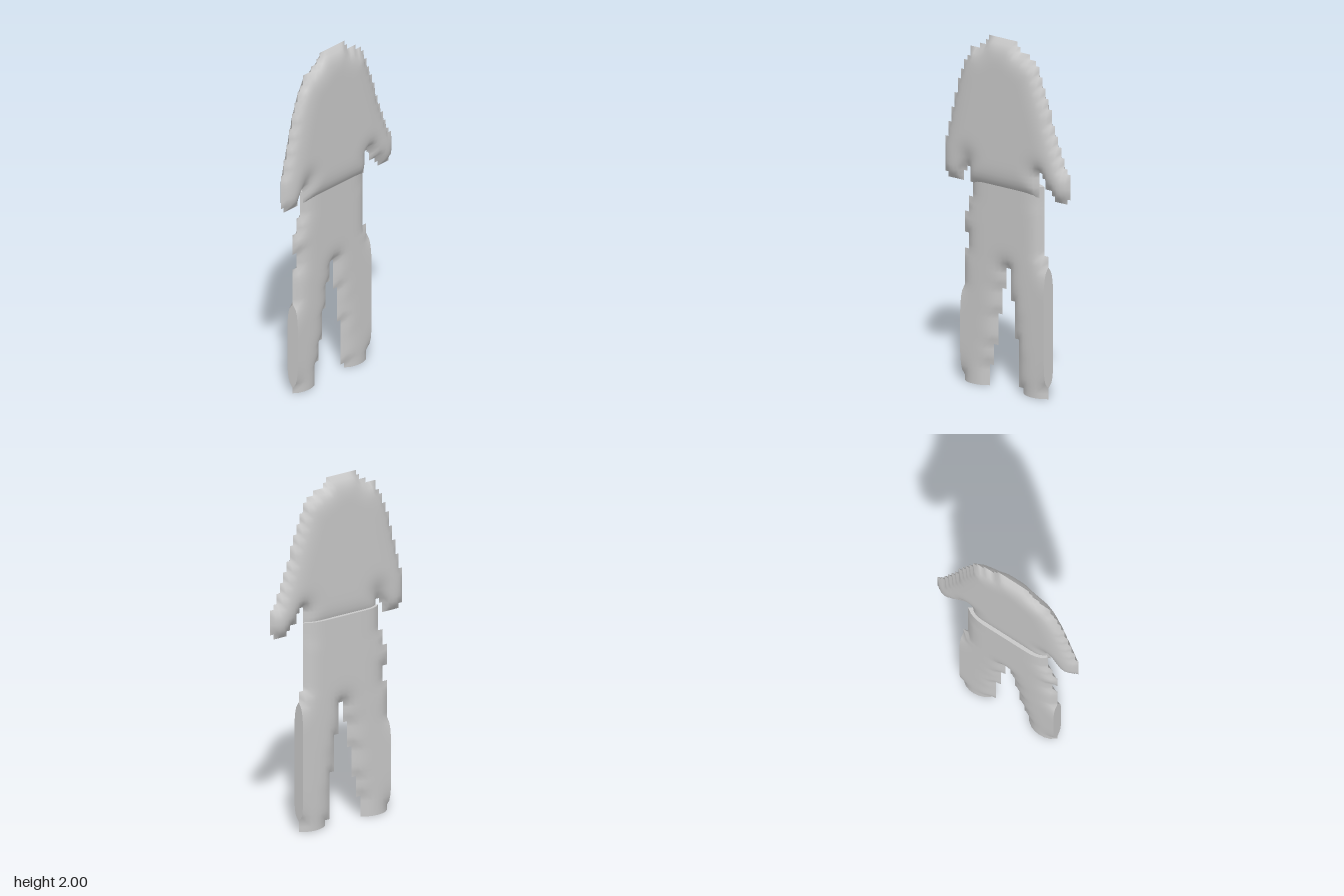
import * as THREE from 'three';

const shirtOutline = [
  [-0.14, 2], [0.07, 2], [0.07, 1.97], [0.13, 1.94], [0.23, 1.89], [0.25, 1.82], [0.28, 1.74],
  [0.325, 1.61], [0.37, 1.48], [0.42, 1.37], [0.44, 1.34], [0.465, 1.27], [0.465, 1.17], [0.44, 1.17],
  [0.44, 1.14], [0.34, 1.14], [0.34, 1.17], [0.28, 1.22], [0.25, 1.27], [0.235, 1.27], [0.235, 1.14],
  [-0.275, 1.14], [-0.275, 1.27], [-0.3, 1.22], [-0.33, 1.17], [-0.33, 1.14], [-0.445, 1.14],
  [-0.445, 1.17], [-0.465, 1.17], [-0.465, 1.31], [-0.445, 1.4], [-0.4, 1.57], [-0.37, 1.68],
  [-0.33, 1.8], [-0.29, 1.87], [-0.26, 1.91], [-0.2, 1.93], [-0.14, 1.97],
];

// Runs past the grid at the waist, the hems and the outer legs, which are cut flat there
const trouserOutline = [
  [-0.28, 1.35], [0.24, 1.35], [0.24, 1.1], [0.26, 1.07], [0.26, 0.82], [0.28, 0.81], [0.285, 0.75],
  [0.4, 0.6], [0.4, 0.2], [0.285, 0.03], [0.28, -0.2], [0.1, -0.2], [0.1, 0.03], [0.075, 0.03],
  [0.07, 0.19], [0.05, 0.2], [0.045, 0.4], [0.02, 0.45], [0.015, 0.55], [-0.005, 0.57], [-0.01, 0.69],
  [-0.035, 0.69], [-0.04, 0.58], [-0.07, 0.57], [-0.07, 0.42], [-0.095, 0.4], [-0.1, 0.25],
  [-0.125, 0.24], [-0.125, 0.14], [-0.15, 0.13], [-0.15, -0.2], [-0.345, -0.2], [-0.345, 0.03],
  [-0.45, 0.15], [-0.45, 0.4], [-0.345, 0.55], [-0.34, 0.74], [-0.31, 0.74], [-0.31, 0.855],
  [-0.34, 0.855], [-0.34, 0.96], [-0.31, 0.96], [-0.31, 1.04], [-0.28, 1.05],
];

function contains(poly, x, y) {
  let inside = false;
  poly.forEach(([ax, ay], k) => {
    const [bx, by] = poly[(k + 1) % poly.length];
    if ((ay > y) !== (by > y) && x < ax + ((y - ay) / (by - ay)) * (bx - ax)) inside = !inside;
  });
  return inside;
}

function edgeDistance(poly, x, y) {
  let best = Infinity;
  poly.forEach(([ax, ay], k) => {
    const [bx, by] = poly[(k + 1) % poly.length];
    const dx = bx - ax, dy = by - ay;
    const t = THREE.MathUtils.clamp(((x - ax) * dx + (y - ay) * dy) / (dx * dx + dy * dy), 0, 1);
    best = Math.min(best, Math.hypot(x - ax - t * dx, y - ay - t * dy));
  });
  return best;
}

// Puffs a stepped silhouette into a cushion: zero thick at its rim, cut flat at the grid limits
function cushion({ outline, x0, x1, y0, y1, nx, ny, depth, radius, zMid }) {
  const dx = (x1 - x0) / nx, dy = (y1 - y0) / ny;
  const filled = (i, j) => contains(outline, x0 + (i + 0.5) * dx, y0 + (j + 0.5) * dy);
  const id = (i, j) => j * (nx + 1) + i;
  const count = (nx + 1) * (ny + 1);

  // Thickness from the distance to the outline
  let h = new Array(count).fill(0);
  const free = new Array(count).fill(false);
  for (let j = 0; j <= ny; j++) for (let i = 0; i <= nx; i++) {
    if (!(filled(i, j) && filled(i - 1, j) && filled(i, j - 1) && filled(i - 1, j - 1))) continue;
    const t = 1 - Math.min(edgeDistance(outline, x0 + i * dx, y0 + j * dy) / radius, 1);
    free[id(i, j)] = true;
    h[id(i, j)] = depth * Math.sqrt(1 - t * t);
  }

  // Soften the ridges
  for (let pass = 0; pass < 2; pass++) {
    h = h.map((v, n) => {
      if (!free[n]) return 0;
      const i = n % (nx + 1), j = Math.floor(n / (nx + 1));
      const mean = (h[id(Math.max(i - 1, 0), j)] + h[id(Math.min(i + 1, nx), j)]
        + h[id(i, Math.max(j - 1, 0))] + h[id(i, Math.min(j + 1, ny))]) / 4;
      return v * 0.55 + mean * 0.45;
    });
  }

  // Front sheet, back sheet, then flat cut walls
  const pos = [], index = [];
  for (const s of [1, -1]) for (let n = 0; n < count; n++) {
    pos.push(x0 + (n % (nx + 1)) * dx, y0 + Math.floor(n / (nx + 1)) * dy, zMid + s * h[n]);
  }
  for (let j = 0; j < ny; j++) for (let i = 0; i < nx; i++) {
    if (!filled(i, j)) continue;
    const a = id(i, j), b = id(i + 1, j), c = id(i + 1, j + 1), d = id(i, j + 1);
    index.push(a, b, c, a, c, d);
    index.push(a + count, c + count, b + count, a + count, d + count, c + count);
    const rim = [[a, b, j === 0], [b, c, i === nx - 1], [c, d, j === ny - 1], [d, a, i === 0]];
    for (const [p, q, cut] of rim) {
      if (!cut || h[p] + h[q] === 0) continue;
      const k = pos.length / 3;
      for (const v of [p, p + count, q + count, q]) pos.push(...pos.slice(v * 3, v * 3 + 3));
      index.push(k, k + 1, k + 2, k, k + 2, k + 3);
    }
  }
  const geometry = new THREE.BufferGeometry();
  geometry.setAttribute('position', new THREE.Float32BufferAttribute(pos, 3));
  geometry.setIndex(index);
  geometry.computeVertexNormals();
  return geometry;
}

export function createModel() {
  const group = new THREE.Group();
  const cloth = new THREE.MeshStandardMaterial({ color: 0xc8c8c8 });
  cloth.name = 'greyCloth';

  const add = (name, spec) => {
    const mesh = new THREE.Mesh(cushion(spec), cloth);
    mesh.name = name;
    group.add(mesh);
  };

  // Long-sleeved top
  add('shirt', {
    outline: shirtOutline, x0: -0.465, x1: 0.465, y0: 1.14, y1: 2, nx: 40, ny: 30,
    depth: 0.05, radius: 0.14, zMid: 0.004,
  });

  // Trousers, set slightly behind the top
  add('trousers', {
    outline: trouserOutline, x0: -0.34, x1: 0.28, y0: 0, y1: 1.2, nx: 20, ny: 40,
    depth: 0.039, radius: 0.12, zMid: -0.018,
  });
  return group;
}
